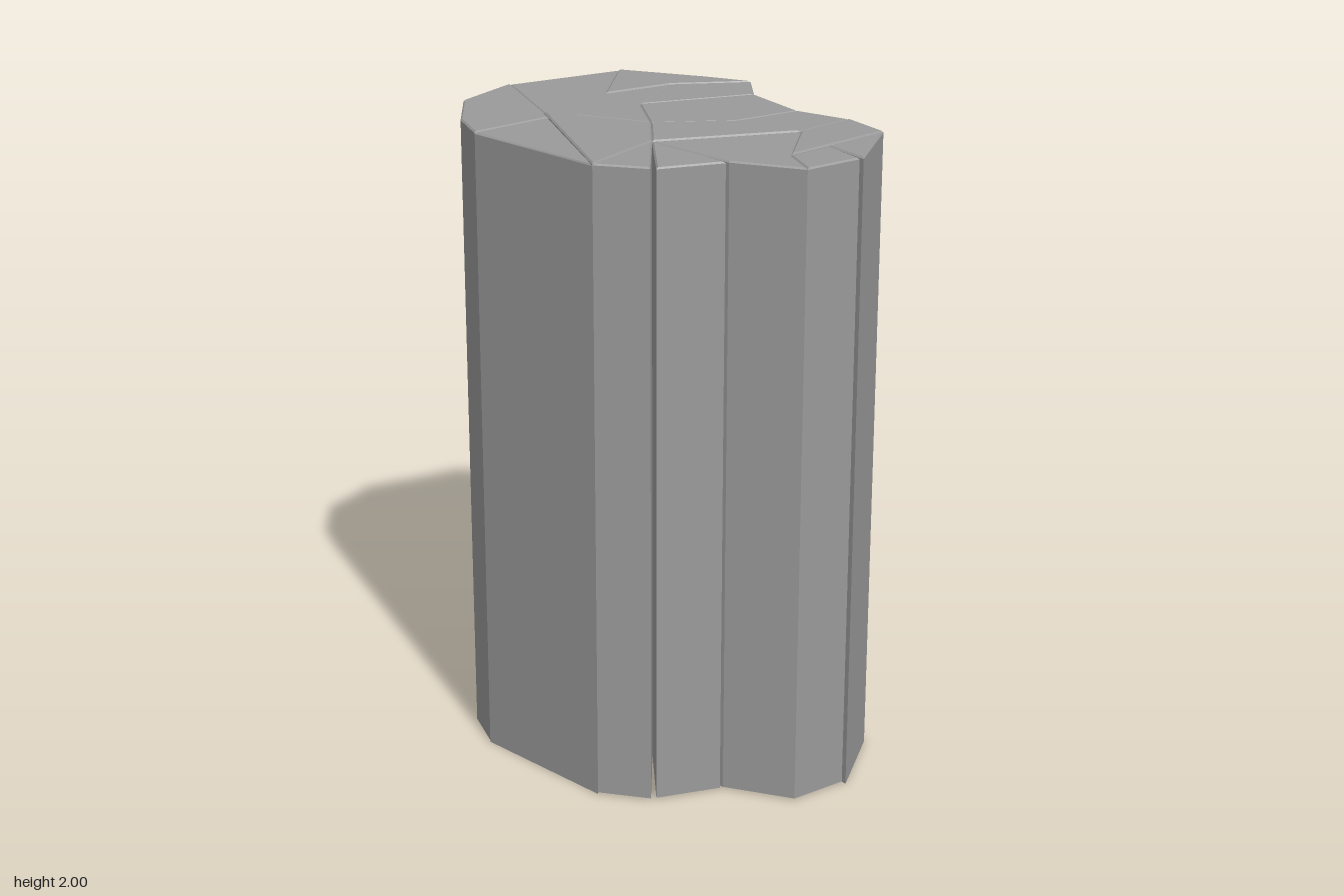
import * as THREE from 'three';

// Plan of the column cluster: named corner points as [x, z]
const P = {
  A: [-0.155, -0.63], B: [0.225, -0.61], C: [0.41, -0.39], D: [0.498, -0.265],
  E: [0.422, -0.13], F: [0.426, 0.1], G: [0.502, 0.26], H: [0.507, 0.425],
  I: [0.297, 0.622], J: [0.105, 0.625], K: [-0.042, 0.45], L: [-0.268, 0.397],
  M: [-0.387, 0.28], N: [-0.51, -0.19], O: [-0.478, -0.34], Q: [-0.372, -0.525],
  R: [-0.252, 0.402], S: [-0.053, 0.45], T: [0.29, 0.612],
  a: [-0.232, -0.275], b: [-0.245, -0.225], c: [-0.165, -0.195], d: [-0.095, -0.25],
  e: [0.04, -0.377], f: [0.265, -0.37], g: [0.065, -0.215], h: [-0.02, -0.01],
  i: [-0.122, 0.165], j: [0.205, 0.1], k: [0.305, 0.298], l: [0.14, 0.49], m: [0.285, 0.465],
};

// Each column is a polygon through those corners; R, S and T leave narrow cracks
const CELLS = ['AQa', 'QONba', 'ABedca', 'BCDfe', 'fDEg', 'efgd', 'cdgh', 'gEFjh', 'bNM',
  'achiMb', 'MiL', 'iSR', 'hjki', 'jFGk', 'iklJK', 'kGHml', 'mHI', 'lmTJ'];

const CHAMFER = 0.005;

// Move every edge of a counter-clockwise outline inwards
function inset(pts, dist) {
  const n = pts.length;
  return pts.map((p, q) => {
    const d1 = p.clone().sub(pts[(q + n - 1) % n]).normalize();
    const d2 = pts[(q + 1) % n].clone().sub(p).normalize();
    const n1 = new THREE.Vector2(-d1.y, d1.x), n2 = new THREE.Vector2(-d2.y, d2.x);
    const miter = n1.clone().add(n2);
    return p.clone().addScaledVector(miter, dist / Math.max(0.25, 1 + n1.dot(n2)));
  });
}

// Flat-sided column: side walls, a fine chamfer and a top, open underneath
function columnGeometry(outline, y0, y1) {
  const pos = [];
  const put = (p, y) => pos.push(p.x, y, -p.y);
  const band = (low, ya, high, yb) => low.forEach((p, q) => {
    const r = (q + 1) % low.length;
    put(p, ya); put(low[r], ya); put(high[r], yb);
    put(p, ya); put(high[r], yb); put(high[q], yb);
  });
  const top = inset(outline, CHAMFER);
  band(outline, y0, outline, y1 - CHAMFER);
  band(outline, y1 - CHAMFER, top, y1);
  for (const tri of THREE.ShapeUtils.triangulateShape(top, [])) {
    tri.forEach((v) => put(top[v], y1));
  }
  const geo = new THREE.BufferGeometry();
  geo.setAttribute('position', new THREE.Float32BufferAttribute(pos, 3));
  geo.computeVertexNormals();
  return geo;
}

export function createModel() {
  const group = new THREE.Group();
  group.name = 'columnCluster';
  const material = new THREE.MeshStandardMaterial({
    color: 0x9a9a9a, flatShading: true, side: THREE.DoubleSide,
  });
  CELLS.forEach((cell, n) => {
    const outline = [...cell].map((key) => new THREE.Vector2(P[key][0], -P[key][1]));
    if (THREE.ShapeUtils.isClockWise(outline)) outline.reverse();
    // Tiny height steps between neighbours
    const y1 = 2 - (n % 3) * 0.002, y0 = n % 4 === 0 ? 0 : 0.006;
    const mesh = new THREE.Mesh(columnGeometry(outline, y0, y1), material);
    mesh.name = `column${n + 1}`;
    group.add(mesh);
  });
  return group;
}
